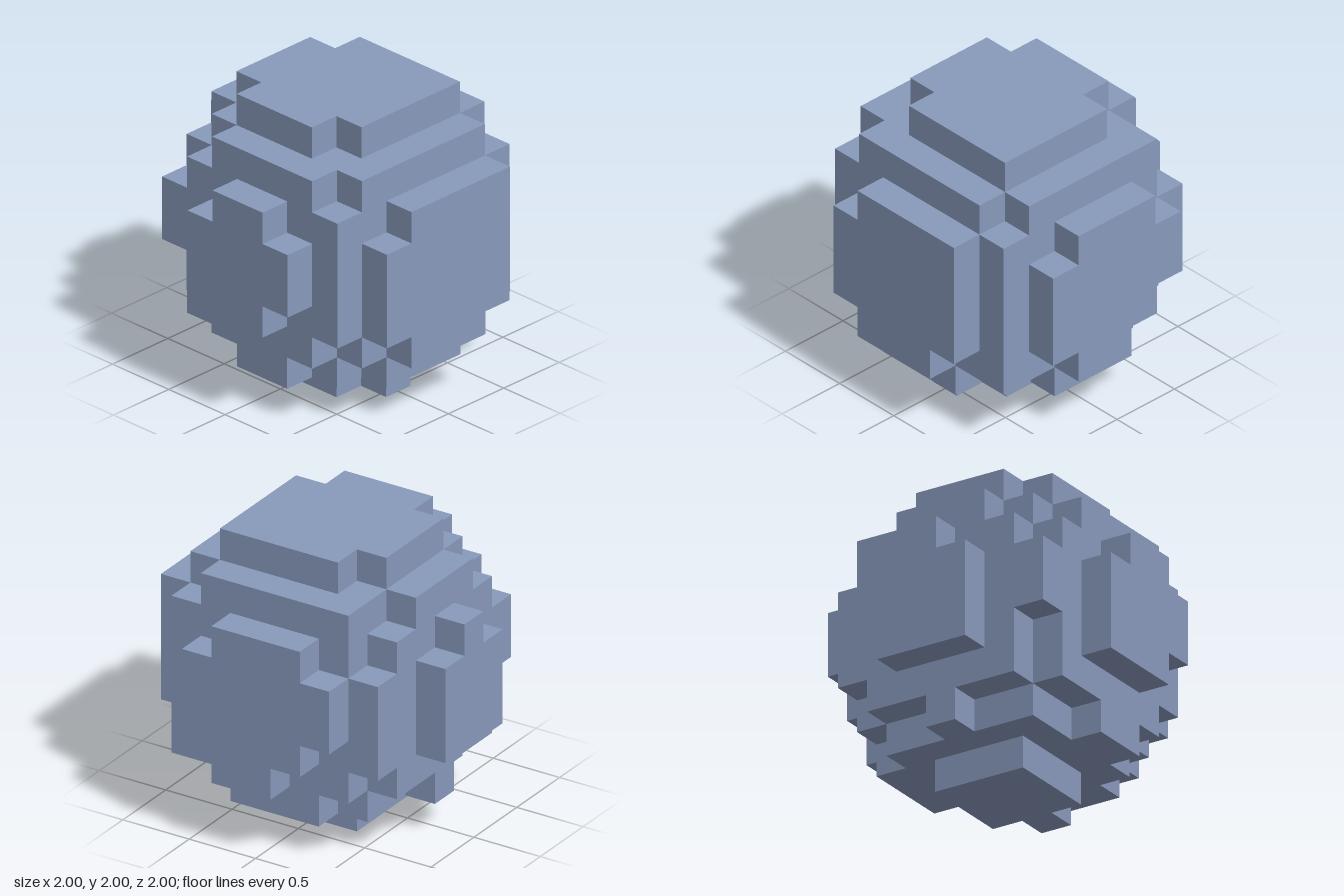
import * as THREE from 'three';
import { mergeGeometries } from 'three/addons/utils/BufferGeometryUtils.js';

const CELL = 2 / 9; // nine cells across each axis

// A cell is solid when it lies inside a ball whose centre is nudged off the grid
const CENTRE = new THREE.Vector3(0.1, 0.22, 0.22);
const LIMIT = 21.2;
function solid(x, y, z) {
  const offset = 2 * (CENTRE.x * x + CENTRE.y * y + CENTRE.z * z);
  return x * x + y * y + z * z - offset <= LIMIT;
}

// One square per direction, facing outwards at half a cell from the cell centre
const SIDES = [[1, 0, 0], [-1, 0, 0], [0, 1, 0], [0, -1, 0], [0, 0, 1], [0, 0, -1]].map((d) => {
  const normal = new THREE.Vector3(...d);
  const turn = new THREE.Quaternion().setFromUnitVectors(new THREE.Vector3(0, 0, 1), normal);
  if (d[2] === -1) turn.setFromAxisAngle(new THREE.Vector3(0, 1, 0), Math.PI);
  const square = new THREE.PlaneGeometry(CELL, CELL).applyQuaternion(turn);
  square.translate(...normal.multiplyScalar(CELL / 2).toArray());
  return { d, square };
});

// Collect only the exposed squares of the blocky ball
function blockBallGeometry() {
  const faces = [];
  for (let x = -4; x <= 4; x++)
    for (let y = -4; y <= 4; y++)
      for (let z = -4; z <= 4; z++) {
        if (!solid(x, y, z)) continue;
        for (const { d, square } of SIDES) {
          if (solid(x + d[0], y + d[1], z + d[2])) continue;
          faces.push(square.clone().translate(x * CELL, y * CELL, z * CELL));
        }
      }
  return mergeGeometries(faces);
}

export function createModel() {
  const model = new THREE.Group();
  model.name = 'blockBall';

  const slateBlue = new THREE.MeshStandardMaterial({ color: 0x8899bb });
  slateBlue.name = 'slateBlue';

  const ball = new THREE.Mesh(blockBallGeometry(), slateBlue);
  ball.name = 'steppedBall';
  ball.position.y = 1;
  model.add(ball);

  return model;
}
